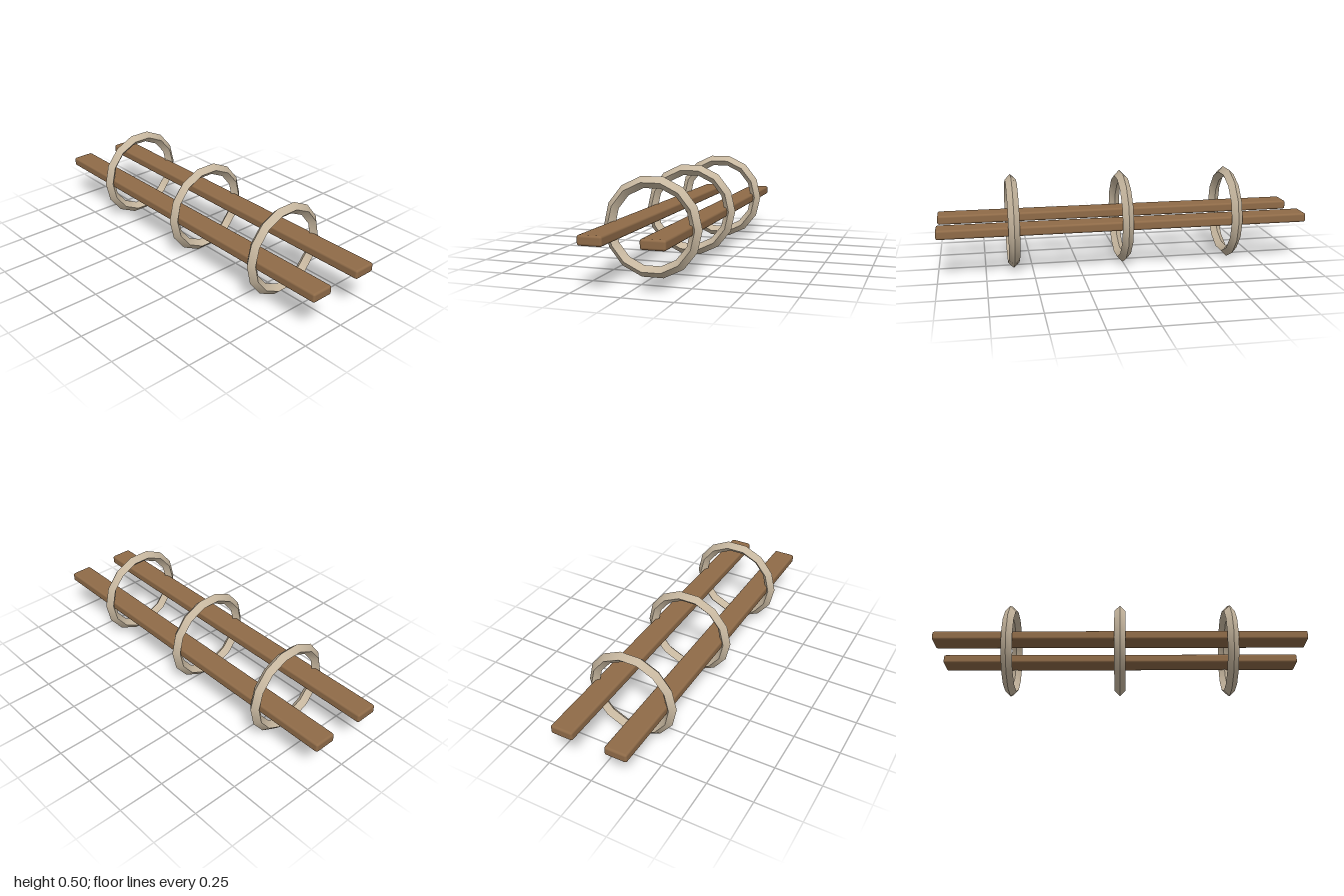
import * as THREE from 'three';
import { toCreasedNormals } from 'three/addons/utils/BufferGeometryUtils.js';
import { RoundedBoxGeometry } from 'three/addons/geometries/RoundedBoxGeometry.js';

export function createModel() {
  const model = new THREE.Group();
  model.name = 'railsWithHoops';

  const wood = new THREE.MeshStandardMaterial({ color: 0x8f6b48 });
  wood.name = 'brown wood';
  const bone = new THREE.MeshStandardMaterial({ color: 0xc8b8a0 });
  bone.name = 'pale beige';

  const add = (name, geometry, material, x, y, z) => {
    const mesh = new THREE.Mesh(geometry, material);
    mesh.name = name;
    mesh.position.set(x, y, z);
    model.add(mesh);
  };

  // Two long planks with softened edges
  const plank = new RoundedBoxGeometry(0.123, 0.05, 2, 2, 0.012);
  add('leftRail', plank, wood, 0.151, 0.245, 0);
  add('rightRail', plank, wood, -0.151, 0.245, 0);

  // Three 14-sided hoops with a diamond section, sharp along the ridges
  const hoop = toCreasedNormals(new THREE.TorusGeometry(0.225, 0.03, 4, 14), 0.6);
  const hoops = { frontHoop: 0.6, middleHoop: 0, backHoop: -0.6 };
  for (const [name, z] of Object.entries(hoops)) add(name, hoop, bone, 0, 0.2486, z);

  return model;
}
